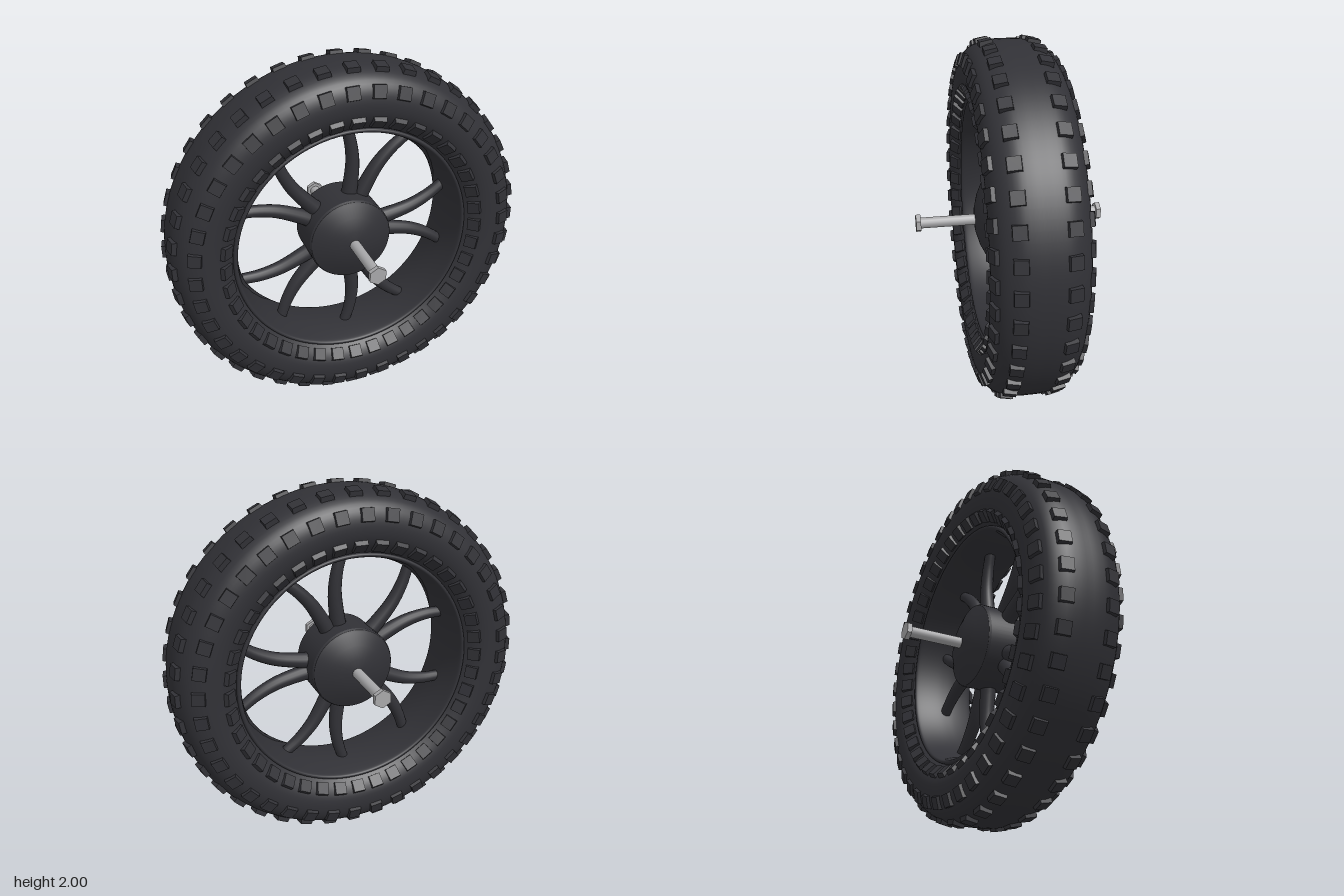
import * as THREE from 'three';
import { mergeGeometries, toCreasedNormals } from 'three/addons/utils/BufferGeometryUtils.js';

const AXLE_Y = 1;
const V2 = (p) => new THREE.Vector2(p[0], p[1]);
const smooth = (pts, n) => new THREE.SplineCurve(pts.map(V2)).getPoints(n);

// Turn a [radius, z] profile around the z axis
const turn = (pts, segments) => new THREE.LatheGeometry(pts, segments).rotateX(Math.PI / 2);

// Tread block: tapered box, thickness along +y
function blockGeometry() {
  const g = new THREE.BoxGeometry(0.075, 0.036, 0.075);
  const p = g.attributes.position;
  for (let i = 0; i < p.count; i++) {
    if (p.getY(i) > 0) { p.setX(i, p.getX(i) * 0.9); p.setZ(i, p.getZ(i) * 0.9); }
  }
  g.computeVertexNormals();
  return g;
}

// Ring of 40 tread blocks at radius r and depth z, tilted from radial, on both sides
function treadRing(r, z, tilt, offset) {
  const parts = [];
  for (const side of [1, -1]) {
    for (let i = 0; i < 40; i++) {
      parts.push(blockGeometry().rotateX(side * tilt).translate(0, r, side * z)
        .rotateZ((i / 40) * Math.PI * 2 + offset));
    }
  }
  return mergeGeometries(parts);
}

// Bent, tapering spoke; angles are degrees clockwise from the top
function spokeGeometry(axis, side) {
  const pts = [[0.19, 9], [0.28, 9], [0.42, 10.5], [0.54, 13.8], [0.632, 17]].map(([r, a]) => {
    const t = THREE.MathUtils.degToRad(axis + side * a);
    return new THREE.Vector3(r * Math.sin(t), r * Math.cos(t), 0);
  });
  const curve = new THREE.CatmullRomCurve3(pts);
  const rings = 16, sides = 14;
  const g = new THREE.TubeGeometry(curve, rings, 0.046, sides);
  const p = g.attributes.position, v = new THREE.Vector3();
  for (let i = 0; i < p.count; i++) {
    const t = Math.floor(i / (sides + 1)) / rings;
    const c = curve.getPointAt(t);
    v.fromBufferAttribute(p, i).sub(c).multiplyScalar(1 - 0.34 * t).add(c);
    p.setXYZ(i, v.x, v.y, v.z);
  }
  return g;
}

export function createModel() {
  const rubber = new THREE.MeshStandardMaterial({ color: 0x313136 });
  rubber.name = 'darkRubber';
  const steel = new THREE.MeshStandardMaterial({ color: 0xa8a8aa });
  steel.name = 'steel';

  const model = new THREE.Group();
  model.name = 'wheel';
  const add = (name, geometry, material) => {
    const mesh = new THREE.Mesh(geometry, material);
    mesh.name = name;
    mesh.position.y = AXLE_Y;
    model.add(mesh);
    return mesh;
  };

  // Tyre: mirrored cross-section from one inner lip over the tread to the other
  const half = [[0.985, 0.06], [0.975, 0.125], [0.94, 0.19], [0.89, 0.226], [0.83, 0.24],
    [0.77, 0.236], [0.72, 0.214], [0.685, 0.185], [0.665, 0.165]];
  const section = [...half.map(([r, z]) => [r, -z]).reverse(), [0.986, 0], ...half];
  add('tyre', turn(smooth(section, 56), 120), rubber);

  // Rim: inward-facing barrel with a rounded flange on each side
  const rimHalf = [[0.672, 0.165], [0.668, 0.184], [0.655, 0.187], [0.645, 0.17], [0.632, 0.11], [0.624, 0.05]];
  const rimSection = [...rimHalf, [0.622, 0], ...rimHalf.map(([r, z]) => [r, -z]).reverse()];
  add('rim', turn(smooth(rimSection, 48), 120), rubber);

  // Tread blocks: shoulder, sidewall and inner rows
  add('shoulderTread', treadRing(0.975, 0.125, 0.2, 0), rubber);
  add('sidewallTread', treadRing(0.88, 0.228, 1.25, 0.035), rubber);
  add('innerTread', treadRing(0.718, 0.211, 2.3, 0), rubber);

  // Hub: drum with shallow domed ends
  const dome = [[0.235, 0.12], [0.228, 0.132], [0.215, 0.138], [0.15, 0.17], [0.08, 0.191], [0, 0.2]];
  const hubSection = [...dome.map(([r, z]) => [r, -z]).reverse(), ...dome].map(V2);
  add('hub', toCreasedNormals(turn(hubSection, 64), 0.5), rubber);

  // Spokes: five mirrored pairs that spread apart toward the rim
  for (let i = 0; i < 5; i++) {
    for (const side of [-1, 1]) add('spoke', spokeGeometry(18 + i * 72, side), rubber);
  }

  // Axle with a hexagonal head at each end
  const axle = new THREE.CylinderGeometry(0.03, 0.03, 1.01, 16).rotateX(Math.PI / 2);
  add('axle', axle, steel);
  for (const side of [1, -1]) {
    const head = new THREE.CylinderGeometry(0.051, 0.051, 0.026, 6).rotateX(Math.PI / 2);
    add('axleHead', toCreasedNormals(head, 0.3), steel).position.z = side * 0.512;
  }
  return model;
}
